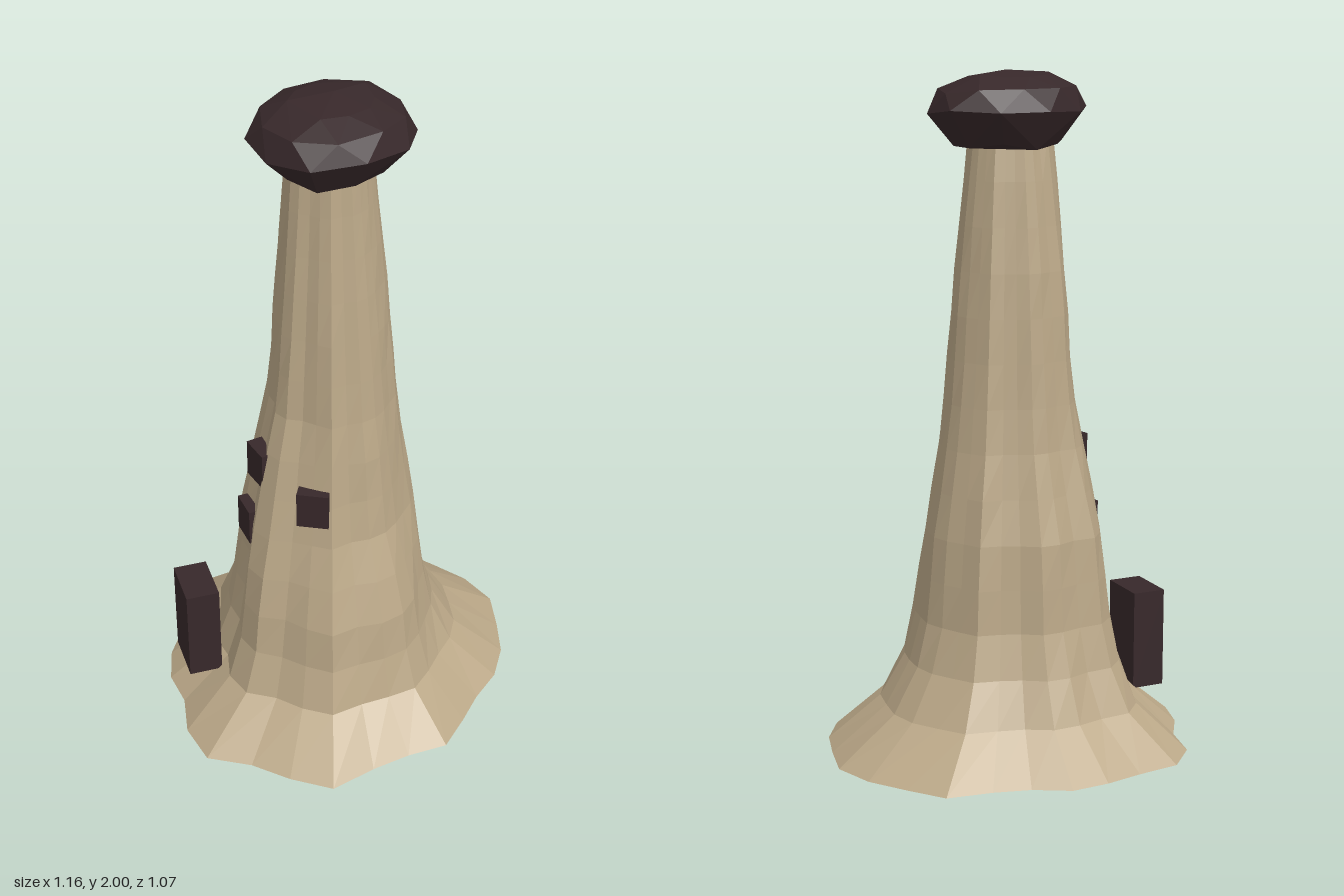
import * as THREE from 'three';
import { ConvexGeometry } from 'three/addons/geometries/ConvexGeometry.js';

const CX = -0.017, CZ = -0.022, N = 28;

// Foot radius at each of the 28 columns, from +x towards +z
const FOOT = [.593, .561, .551, .534, .507, .521, .558, .532, .55, .618, .59, .572, .618, .578,
  .519, .529, .52, .504, .56, .573, .526, .518, .519, .484, .502, .569, .564, .583];

// Height, then radius towards right (+x), front, left (-x) and back
const RINGS = [
  [0, .593, .55, .57, .53],
  [.13, .41, .4, .4, .385],
  [.26, .327, .365, .35, .328],
  [.39, .287, .348, .33, .295],
  [.52, .275, .305, .312, .283],
  [.65, .262, .257, .293, .27],
  [.78, .24, .238, .265, .238],
  [.91, .217, .222, .235, .21],
  [1.04, .202, .203, .2, .194],
  [1.17, .19, .19, .186, .184],
  [1.3, .178, .177, .174, .176],
  [1.43, .165, .163, .163, .166],
  [1.56, .152, .148, .152, .151],
  [1.69, .137, .135, .142, .136],
  [1.82, .121, .125, .132, .118],
];

// Extra ribs and grooves in the shaft, by column
const FLUTES = { 7: .035, 8: -.02, 10: -.03, 11: -.045, 13: .03, 14: -.03, 15: -.03, 17: .03, 19: .02, 20: -.02, 23: -.03, 24: -.03, 25: .02 };

// Widest outline of the cap stone, as x and z
const CAP = [[-.017, -.232], [.125, -.195], [.228, -.093], [.209, .062], [.131, .161],
  [-.017, .202], [-.175, .179], [-.243, .046], [-.25, -.077], [-.153, -.185]];

// Blend the four directional radii around the ring
function blend(ring, a) {
  const c = Math.cos(a), s = Math.sin(a);
  return c * c * (c > 0 ? ring[1] : ring[3]) + s * s * (s > 0 ? ring[2] : ring[4]);
}

function seeded(seed) {
  return () => (seed = (seed * 16807) % 2147483647) / 2147483647;
}

const angle = (i) => (i / N) * Math.PI * 2;

// Fluted stone shaft made from rings, one normal per face
function columnGeometry() {
  const rand = seeded(41), pos = [], idx = [];
  RINGS.forEach((ring, j) => {
    for (let i = 0; i < N; i++) {
      const a = angle(i), base = blend(RINGS[0], a);
      let r = FOOT[i];
      if (j > 0) {
        // the lobes of the foot fade out towards the top
        const lobe = (0.85 - 0.035 * j) * (FOOT[i] - base) / base;
        const flute = (FLUTES[i] || 0) * Math.min(1, j / 3);
        r = blend(ring, a) * (1 + lobe + flute + (rand() - 0.5) * 0.022);
      }
      pos.push(CX + r * Math.cos(a), ring[0], CZ + r * Math.sin(a));
    }
  });
  for (let j = 0; j < RINGS.length - 1; j++) {
    for (let i = 0; i < N; i++) {
      const a = j * N + i, b = j * N + (i + 1) % N;
      idx.push(a, a + N, b, b, a + N, b + N);
    }
  }
  const geo = new THREE.BufferGeometry();
  geo.setAttribute('position', new THREE.Float32BufferAttribute(pos, 3));
  geo.setIndex(idx);
  const flat = geo.toNonIndexed();
  flat.computeVertexNormals();
  return flat;
}

// Flat underside with the outline of the foot
function undersideGeometry() {
  const outline = FOOT.map((r, i) => new THREE.Vector2(CX + r * Math.cos(angle(i)), CZ + r * Math.sin(angle(i))));
  return new THREE.ShapeGeometry(new THREE.Shape(outline)).rotateX(Math.PI / 2);
}

// Chipped cap stone: hull of loops scaled from its outline
function capGeometry() {
  const rand = seeded(7), points = [];
  // height, scale, height jitter, half-step turn
  const loops = [[1.79, .68, .02, 0], [1.885, 1, .03, 0], [1.945, .9, .02, .5], [1.985, .5, .015, 0]];
  for (const [y, scale, jitter, turn] of loops) {
    CAP.forEach(([x, z], i) => {
      const [nx, nz] = CAP[(i + 1) % CAP.length];
      points.push(new THREE.Vector3(
        CX + (THREE.MathUtils.lerp(x, nx, turn) - CX) * scale,
        y + (rand() - 0.5) * jitter,
        CZ + (THREE.MathUtils.lerp(z, nz, turn) - CZ) * scale));
    });
  }
  points.push(new THREE.Vector3(0, 2, -.03), new THREE.Vector3(-.06, 1.766, 0));
  return new ConvexGeometry(points);
}

export function createModel() {
  const group = new THREE.Group();
  const material = (name, color) => {
    const mat = new THREE.MeshStandardMaterial({ color });
    mat.name = name;
    return mat;
  };
  const sandstone = material('sandstone', 0xbba888);
  const shadedStone = material('dark sandstone', 0x85775f);
  const basalt = material('dark basalt', 0x37282a);

  const add = (name, geo, mat) => {
    const mesh = new THREE.Mesh(geo, mat);
    mesh.name = name;
    group.add(mesh);
    return mesh;
  };

  add('column', columnGeometry(), sandstone);
  add('underside', undersideGeometry(), shadedStone);
  add('capStone', capGeometry(), basalt);

  // Door and window blocks: name, size, position, turn
  const openings = [
    ['door', [.103, .305, .16], [-.448, .253, -.093], -.15],
    ['lowerWindow', [.055, .115, .095], [-.28, .637, -.03], -.06],
    ['upperWindow', [.06, .115, .095], [-.247, .847, -.01], .06],
    ['frontWindow', [.095, .115, .06], [-.167, .778, .168], -.63],
  ];
  for (const [name, size, at, turn] of openings) {
    const box = add(name, new THREE.BoxGeometry(...size), basalt);
    box.position.set(...at);
    box.rotation.y = turn;
  }
  return group;
}
